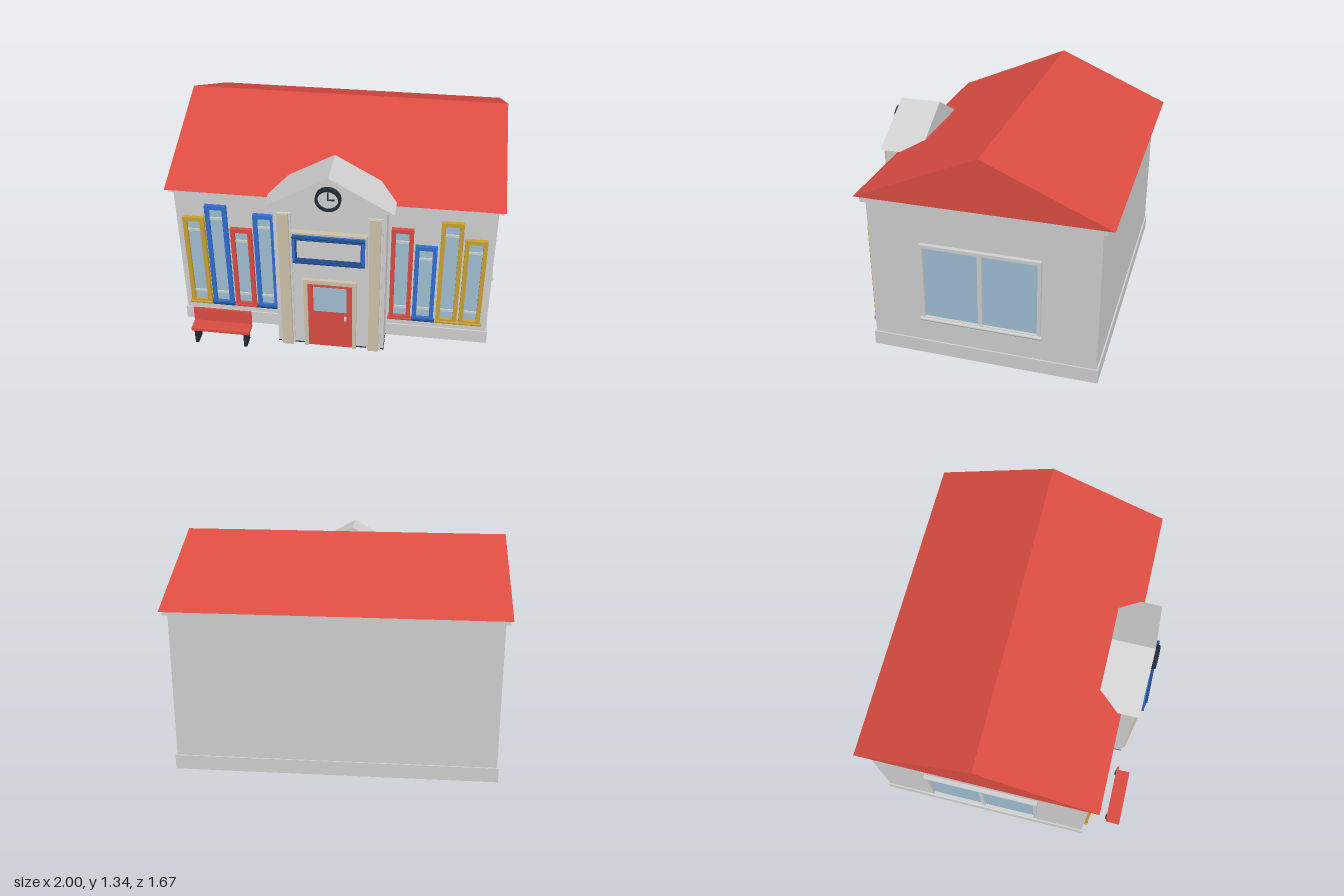
import * as THREE from 'three';

const mat = (name, color) => {
  const m = new THREE.MeshStandardMaterial({ color });
  m.name = name;
  return m;
};

export function createModel() {
  const grey = mat('wall grey', 0xd0d0d0);
  const red = mat('red', 0xdb4c42);
  const beige = mat('beige trim', 0xcfc2aa);
  const glass = mat('glass blue', 0xa0bfd3);
  const blue = mat('blue', 0x336fd0);
  const navy = mat('dark blue', 0x1f4c8c);
  const yellow = mat('yellow', 0xcaa235);
  const dark = mat('dark slate', 0x232b35);

  const root = new THREE.Group();
  root.name = 'schoolhouse';

  const group = (name, parent = root) => {
    const g = new THREE.Group();
    g.name = name;
    parent.add(g);
    return g;
  };
  const mesh = (name, geo, m, parent = root) => {
    const o = new THREE.Mesh(geo, m);
    o.name = name;
    parent.add(o);
    return o;
  };
  // Box given by its minimum and maximum on each axis
  const box = (name, m, [x0, x1], [y0, y1], [z0, z1], parent) => {
    const o = mesh(name, new THREE.BoxGeometry(x1 - x0, y1 - y0, z1 - z0), m, parent);
    o.position.set((x0 + x1) / 2, (y0 + y1) / 2, (z0 + z1) / 2);
    return o;
  };
  // Rectangular frame in the xy plane
  const frame = (name, m, [x0, x1], [y0, y1], [z0, z1], t, parent) => {
    const s = new THREE.Shape([[x0, y0], [x1, y0], [x1, y1], [x0, y1]].map(p => new THREE.Vector2(...p)));
    s.holes.push(new THREE.Path([[x0 + t, y0 + t], [x0 + t, y1 - t], [x1 - t, y1 - t], [x1 - t, y0 + t]]
      .map(p => new THREE.Vector2(...p))));
    const o = mesh(name, new THREE.ExtrudeGeometry(s, { depth: z1 - z0, bevelEnabled: false }), m, parent);
    o.position.z = z0;
    return o;
  };
  // Horizontal rounded bar along x
  const bar = (name, m, [x0, x1], y, z, r, parent) => {
    const o = mesh(name, new THREE.CylinderGeometry(r, r, x1 - x0, 12), m, parent);
    o.rotation.z = Math.PI / 2;
    o.position.set((x0 + x1) / 2, y, z);
    return o;
  };
  // Triangular prism along z, standing on y = 0
  const prism = (half, height, depth) => new THREE.ExtrudeGeometry(
    new THREE.Shape([new THREE.Vector2(-half, 0), new THREE.Vector2(half, 0), new THREE.Vector2(0, height)]),
    { depth, bevelEnabled: false });

  // Main building
  box('walls', grey, [-0.96, 0.96], [0, 1.0], [-0.77, 0.595]);
  box('plinth', grey, [-0.97, 0.97], [0, 0.09], [-0.78, 0.605]);
  box('eaveTrim', grey, [-0.985, 0.985], [0.985, 1.018], [-0.797, 0.62]);
  const roof = mesh('roof', prism(0.745, 0.322, 1.99), red);
  roof.rotation.y = Math.PI / 2;
  roof.position.set(-0.995, 1.018, -0.09);

  // Entrance porch
  const porch = group('porch');
  box('porchWalls', grey, [-0.33, 0.33], [0, 1.03], [0.5, 0.745], porch);
  box('porchFoot', dark, [-0.332, 0.332], [0, 0.008], [0.5, 0.747], porch);
  const pediment = mesh('pediment', prism(0.375, 0.212, 0.265), grey, porch);
  pediment.position.set(0, 1.028, 0.5);
  for (const s of [-1, 1]) {
    const pilaster = group(s < 0 ? 'rightPilaster' : 'leftPilaster', porch);
    pilaster.position.x = s * 0.268;
    box('pilasterBack', grey, [-0.043, 0.043], [0, 0.985], [0.74, 0.755], pilaster);
    box('pilasterShaft', beige, [-0.032, 0.032], [0, 0.985], [0.74, 0.772], pilaster);
  }

  // Door
  const door = group('door', porch);
  box('doorFrameTop', beige, [-0.16, 0.16], [0.492, 0.52], [0.74, 0.768], door);
  for (const s of [-1, 1]) {
    box('doorJamb', beige, [s * 0.148 - 0.012, s * 0.148 + 0.012], [0, 0.492], [0.74, 0.768], door);
  }
  box('doorLeaf', red, [-0.137, 0.137], [0, 0.492], [0.74, 0.757], door);
  box('doorWindow', glass, [-0.102, 0.102], [0.28, 0.465], [0.755, 0.76], door);
  box('doorHandle', grey, [0.088, 0.102], [0.225, 0.25], [0.755, 0.772], door);

  // Sign board with a blank face
  const sign = group('sign', porch);
  box('signBoard', grey, [-0.222, 0.222], [0.655, 0.868], [0.74, 0.778], sign);
  frame('signBorder', beige, [-0.224, 0.224], [0.653, 0.87], [0.74, 0.78], 0.008, sign);
  frame('signFrame', blue, [-0.212, 0.212], [0.668, 0.857], [0.775, 0.803], 0.022, sign);
  frame('signInnerEdge', navy, [-0.195, 0.195], [0.685, 0.84], [0.775, 0.805], 0.006, sign);
  for (const y of [0.675, 0.85]) bar('signRail', navy, [-0.212, 0.212], y, 0.797, 0.01, sign);

  // Clock
  const clock = group('clock', porch);
  clock.position.set(0, 1.113, 0.765);
  const face = mesh('clockFace', new THREE.CylinderGeometry(0.066, 0.066, 0.02, 32), grey, clock);
  face.rotation.x = Math.PI / 2;
  face.position.z = 0.008;
  const rim = new THREE.Shape().absarc(0, 0, 0.074, 0, Math.PI * 2);
  rim.holes.push(new THREE.Path().absarc(0, 0, 0.058, 0, Math.PI * 2));
  mesh('clockRim', new THREE.ExtrudeGeometry(rim, { depth: 0.03, bevelEnabled: false, curveSegments: 24 }), dark, clock);
  box('minuteHand', dark, [-0.004, 0.004], [-0.004, 0.05], [0.017, 0.023], clock);
  box('hourHand', dark, [-0.004, 0.036], [-0.004, 0.004], [0.017, 0.023], clock);

  // Tall front windows: centre x, top y, colour
  const tall = [
    [-0.853, 0.807, yellow], [-0.71, 0.9, blue], [-0.563, 0.745, red], [-0.418, 0.858, blue],
    [0.416, 0.83, red], [0.56, 0.717, blue], [0.706, 0.9, yellow], [0.85, 0.787, yellow],
  ];
  for (const [x, top, color] of tall) {
    const w = group('tallWindow');
    w.position.x = x;
    box('pane', glass, [-0.045, 0.045], [0.17, top - 0.02], [0.59, 0.602], w);
    frame('windowFrame', color, [-0.066, 0.066], [0.15, top], [0.59, 0.62], 0.026, w);
    for (const y of [0.24, top - 0.095]) box('glazingBar', grey, [-0.042, 0.042], [y - 0.008, y + 0.008], [0.595, 0.609], w);
    bar('sill', color === blue ? navy : color, [-0.075, 0.075], 0.154, 0.612, 0.013, w);
  }

  // Wide windows on both ends, built facing +z and turned outwards
  for (const s of [-1, 1]) {
    const w = group(s < 0 ? 'rightSideWindow' : 'leftSideWindow');
    w.rotation.y = s * Math.PI / 2;
    w.position.set(s * 0.96, 0, -0.08);
    box('pane', glass, [-0.345, 0.345], [0.27, 0.745], [-0.01, 0.01], w);
    frame('windowFrame', grey, [-0.36, 0.36], [0.255, 0.76], [-0.01, 0.027], 0.02, w);
    box('mullion', grey, [-0.012, 0.012], [0.27, 0.745], [0, 0.022], w);
    bar('sill', grey, [-0.367, 0.367], 0.26, 0.026, 0.012, w);
  }

  // Bench
  const bench = group('bench');
  box('benchSeat', red, [-0.867, -0.5], [0.098, 0.118], [0.745, 0.835], bench);
  const back = box('benchBack', red, [-0.867, -0.5], [0.122, 0.212], [0.74, 0.755], bench);
  back.rotation.x = -0.05;
  for (const x of [-0.84, -0.528]) {
    box('benchLeg', dark, [x - 0.01, x + 0.01], [0, 0.098], [0.75, 0.833], bench);
    box('benchBracket', dark, [x - 0.01, x + 0.01], [0.098, 0.19], [0.736, 0.745], bench);
  }

  return root;
}
